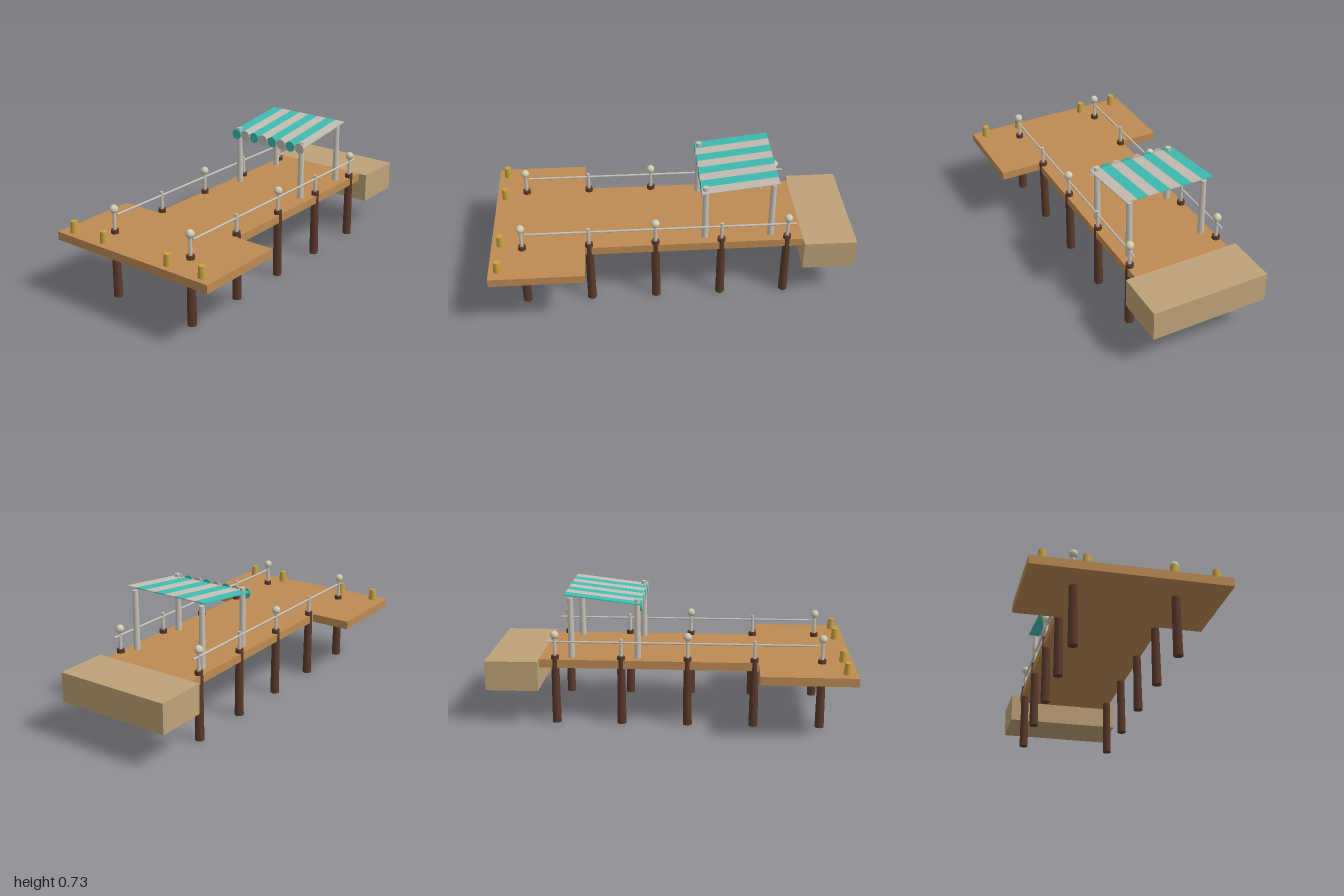
import * as THREE from 'three';

const paint = (name, color) => {
  const m = new THREE.MeshStandardMaterial({ color });
  m.name = name;
  return m;
};

export function createModel() {
  const pier = new THREE.Group();
  pier.name = 'pier';
  const wood = paint('deck wood', 0xbe8b53);
  const sand = paint('shore sand', 0xbfa378);
  const bark = paint('dark pile wood', 0x5a392b);
  const pale = paint('pale post', 0xc8c3b9);
  const cream = paint('lamp cream', 0xd2ccb2);
  const gold = paint('bollard gold', 0xc9a143);
  const teal = paint('awning teal', 0x3fbdb3);
  const white = paint('awning white', 0xc6beb4);

  const add = (name, geometry, material, x, y, z, parent = pier) => {
    const mesh = new THREE.Mesh(geometry, material);
    mesh.name = name;
    mesh.position.set(x, y, z);
    parent.add(mesh);
    return mesh;
  };
  // Box given by its extents in y and z, centred on x
  const slab = (name, material, width, y0, y1, z0, z1) =>
    add(name, new THREE.BoxGeometry(width, y1 - y0, z1 - z0), material, 0, (y0 + y1) / 2, (z0 + z1) / 2);
  // Upright tapered cylinder from y0 to y1
  const column = (name, material, x, z, y0, y1, rBottom, rTop, sides = 12) =>
    add(name, new THREE.CylinderGeometry(rTop, rBottom, y1 - y0, sides), material, x, (y0 + y1) / 2, z);

  // Decks and shore
  const deckTop = 0.366;
  slab('pierHeadDeck', wood, 1.016, 0.32, deckTop, 0.49, 1);
  slab('walkwayDeck', wood, 0.555, 0.32, deckTop, -0.71, 0.49);
  slab('shoreBlock', sand, 0.656, 0.2, deckTop, -1, -0.71);

  for (const side of [-1, 1]) {
    const x = side * 0.26;
    // Piles, each carrying a short rail post or a taller one with a lamp ball
    for (let i = 0; i < 5; i++) {
      const z = 0.83 - i * 0.363;
      const hasLamp = i % 2 === 0;
      column('pile', bark, x, z, 0, 0.387, 0.025, 0.0215);
      column('railPost', pale, x, z, 0.38, 0.485, 0.01, 0.009, 8);
      if (hasLamp) add('lampBall', new THREE.SphereGeometry(0.023, 16, 12), cream, x, 0.501, z);
    }
    // Handrail
    add('handrail', new THREE.CylinderGeometry(0.006, 0.006, 1.48, 8), pale, x, 0.463, 0.07).rotation.x = Math.PI / 2;
    // Mooring bollards
    for (const bx of [0.218, 0.436]) column('bollard', gold, side * bx, 0.948, deckTop, 0.428, 0.024, 0.0185);
    // Awning posts
    for (const z of [-0.171, -0.536]) column('awningPost', pale, side * 0.218, z, deckTop, 0.699, 0.0185, 0.0155, 10);
  }

  // Striped awning sloping down to the front, with a scalloped front edge
  const awning = new THREE.Group();
  awning.name = 'awning';
  pier.add(awning);
  const stripes = 8, pitch = 0.508 / stripes;
  const rise = 0.05, run = 0.41;
  for (let i = 0; i < stripes; i++) {
    const x = (i - (stripes - 1) / 2) * pitch - 0.002;
    const material = i % 2 ? white : teal;
    add('awningStripe', new THREE.BoxGeometry(pitch, 0.005, Math.hypot(rise, run)), material, x, 0.7, -0.358, awning)
      .rotation.x = Math.atan2(rise, run);
    add('awningScallop', new THREE.CylinderGeometry(0.03, 0.03, 0.006, 12), material, x, 0.664, -0.15, awning)
      .rotation.x = Math.PI / 2;
  }
  return pier;
}
